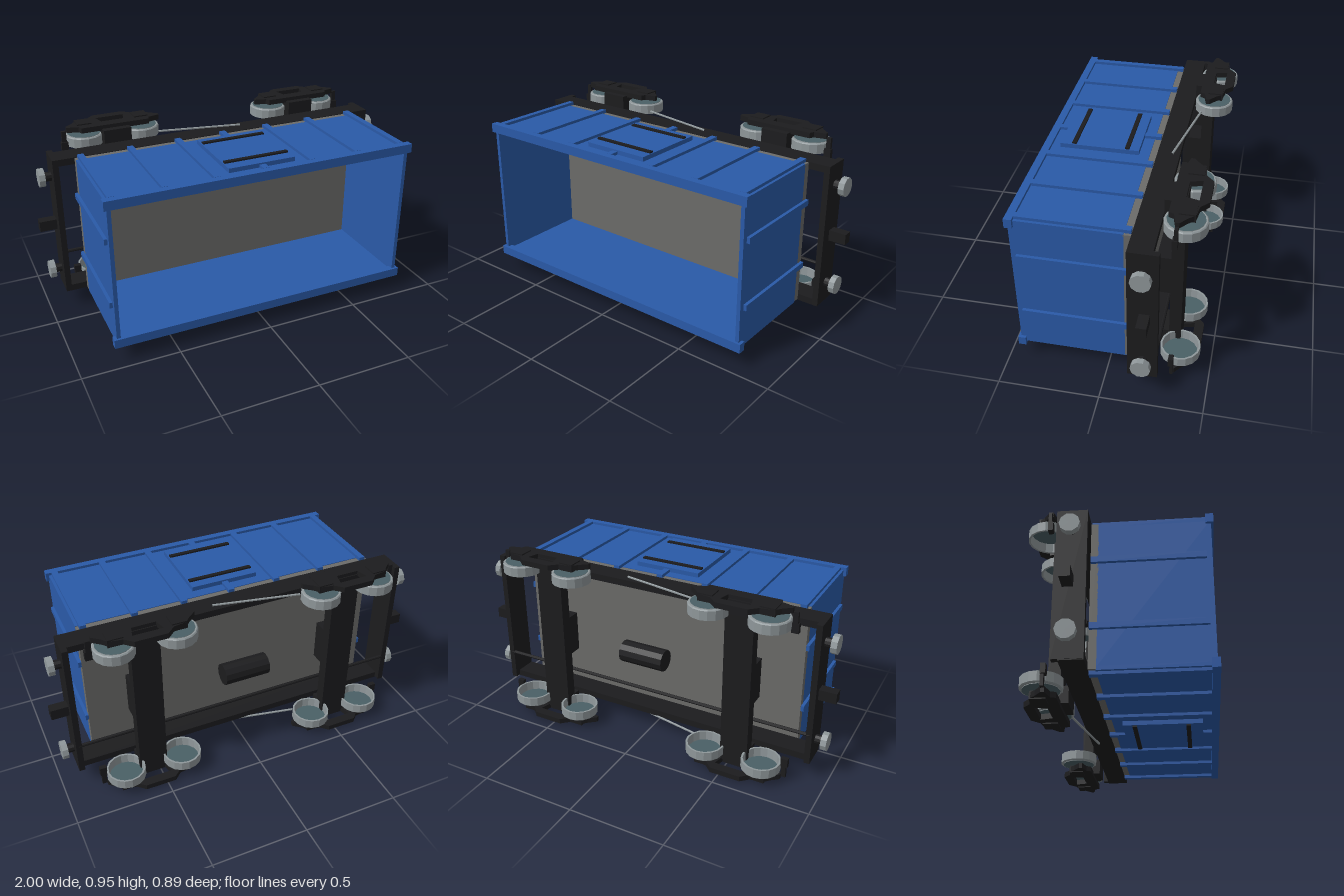
import * as THREE from 'three';

const mat = (color) => new THREE.MeshStandardMaterial({ color, flatShading: true });
const BLUE = mat(0x2a5aa8), BLACK = mat(0x1c1c1e), GREY = mat(0x8f979a);
const TEAL = mat(0x4a6066), FLOOR = mat(0x6b6b69);
const MID = 0.475; // height of the wagon's long mirror plane

function add(parent, name, geometry, material) {
  const m = new THREE.Mesh(geometry, material);
  m.name = name;
  parent.add(m);
  return m;
}

// Box from minimum and maximum coordinates
function box(parent, name, material, x0, x1, y0, y1, z0, z1) {
  const m = add(parent, name, new THREE.BoxGeometry(x1 - x0, y1 - y0, z1 - z0), material);
  m.position.set((x0 + x1) / 2, (y0 + y1) / 2, (z0 + z1) / 2);
  return m;
}

// Cylinder lying along x
function rod(parent, name, material, x0, x1, y, z, r, sides) {
  const m = add(parent, name, new THREE.CylinderGeometry(r, r, x1 - x0, sides), material);
  m.rotation.z = Math.PI / 2;
  m.position.set((x0 + x1) / 2, y, z);
  return m;
}

// Box repeated on both long sides; s = -1 mirrors it across the mid plane
function sideBox(parent, name, material, s, x0, x1, y0, y1, z0, z1) {
  const a = MID + s * (y0 - MID), b = MID + s * (y1 - MID);
  return box(parent, name, material, x0, x1, Math.min(a, b), Math.max(a, b), z0, z1);
}

// Long wall with ribs, rim rail and hatch panel
function createSide(s) {
  const g = new THREE.Group();
  g.name = 'longSide';
  sideBox(g, 'sideWall', BLUE, s, -0.8, 0.8, 0.835, 0.855, -0.088, 0.44);
  sideBox(g, 'rimRail', BLUE, s, -0.815, 0.815, 0.822, 0.869, 0.412, 0.45);
  for (const x of [-0.77, -0.513, -0.255, 0, 0.255, 0.513, 0.77])
    sideBox(g, 'sideRib', BLUE, s, x - 0.016, x + 0.016, 0.85, 0.87, -0.12, 0.412);
  sideBox(g, 'hatchPanel', BLUE, s, -0.178, 0.178, 0.85, 0.878, -0.035, 0.367);
  for (const z of [0.025, 0.295])
    sideBox(g, 'hatchBar', BLACK, s, -0.172, 0.172, 0.87, 0.886, z - 0.011, z + 0.011);
  return g;
}

// Hollow wheel with a recessed web, turning about y
function createWheel() {
  const g = new THREE.Group();
  g.name = 'wheel';
  const profile = [[0, 0.03], [0.087, 0.03], [0.09, -0.026], [0.1, -0.026], [0.1, 0.022], [0.095, 0.027], [0.086, 0.027], [0, 0.027]]
    .map(([r, y]) => new THREE.Vector2(r, y));
  // rim and inner web, closed on the outer side by the coloured disc
  add(g, 'wheelRim', new THREE.LatheGeometry(profile.slice(1, 7), 16),
    Object.assign(GREY.clone(), { side: THREE.DoubleSide }));
  const disc = add(g, 'wheelDisc', new THREE.CylinderGeometry(0.087, 0.087, 0.008, 16), TEAL);
  disc.position.y = 0.026;
  return g;
}

// Side frame outline with a window between the wheels
function sideFrameGeometry() {
  const half = [[0.18, -0.27], [0.19, -0.295], [0.25, -0.31], [0.25, -0.327], [0.21, -0.36], [0.185, -0.39], [0.12, -0.4], [0.08, -0.438]];
  const points = [...half, ...half.slice().reverse().map(([x, z]) => [-x, z])];
  const shape = new THREE.Shape(points.map(([x, z]) => new THREE.Vector2(x, -z)));
  shape.holes.push(new THREE.Path([[-0.06, 0.33], [-0.075, 0.39], [0.075, 0.39], [0.06, 0.33]]
    .map(([x, z]) => new THREE.Vector2(x, z))));
  const geo = new THREE.ExtrudeGeometry(shape, { depth: 0.028, bevelEnabled: false });
  return geo.rotateX(-Math.PI / 2); // outline y becomes -z, depth becomes y
}

function createBogie(cx, outward) {
  const g = new THREE.Group();
  g.name = 'bogie';
  box(g, 'bolster', BLACK, -0.073, 0.073, 0.1, 0.85, -0.335, -0.275);
  box(g, 'pivotBlock', BLACK, -0.073, 0.073, 0.367, 0.585, -0.28, -0.205);
  for (const s of [1, -1]) {
    sideBox(g, 'bolsterEnd', BLACK, s, -0.073, 0.073, 0.84, 0.925, -0.335, -0.235);
    const frame = add(g, 'sideFrame', sideFrameGeometry(), BLACK);
    frame.position.y = s > 0 ? 0.916 : 0.006;
    for (const x of [-0.153, 0.153]) {
      const wheel = createWheel();
      wheel.position.set(x, MID + s * 0.392, -0.345);
      if (s < 0) wheel.rotation.x = Math.PI;
      g.add(wheel);
      sideBox(g, 'axleBox', BLACK, s, x - 0.038, x + 0.038, 0.91, 0.95, -0.39, -0.315);
    }
    const hook = outward * 0.265;
    sideBox(g, 'brakeShoe', BLACK, s, hook - 0.018, hook + 0.018, 0.82, 0.868, -0.326, -0.302);
    sideBox(g, 'brakeHanger', BLACK, s, hook - 0.012, hook + 0.012, 0.86, 0.925, -0.326, -0.31);
  }
  g.position.x = cx;
  return g;
}

export function createModel() {
  const model = new THREE.Group();
  model.name = 'openWagon';

  // Open body
  const body = new THREE.Group();
  body.name = 'body';
  model.add(body);
  box(body, 'floor', FLOOR, -0.8, 0.8, 0.1, 0.852, -0.122, -0.085);
  for (const s of [1, -1]) body.add(createSide(s));
  for (const s of [1, -1]) {
    const end = new THREE.Group();
    end.name = 'endWall';
    box(end, 'endPanel', BLUE, 0.78, 0.8, 0.105, 0.845, -0.088, 0.438);
    for (const y of [0.306, 0.648])
      box(end, 'endRib', BLUE, 0.795, 0.816, y - 0.015, y + 0.015, -0.12, 0.412);
    if (s < 0) end.children.forEach((m) => { m.position.x *= -1; });
    body.add(end);
  }

  // Underframe
  const under = new THREE.Group();
  under.name = 'underframe';
  model.add(under);
  for (const s of [1, -1]) {
    sideBox(under, 'soleBar', BLACK, s, -0.91, 0.91, 0.82, 0.855, -0.235, -0.122);
    // Inclined brake rod
    const a = new THREE.Vector3(-0.3, MID + s * 0.383, -0.285);
    const b = new THREE.Vector3(0.14, MID + s * 0.383, -0.196);
    add(under, 'brakeRod', new THREE.TubeGeometry(new THREE.LineCurve3(a, b), 1, 0.006, 6), GREY);
    // Ends: beam, coupler and buffers
    const [e0, e1] = s > 0 ? [0.882, 0.912] : [-0.912, -0.882];
    box(under, 'endBeam', BLACK, e0, e1, 0.1, 0.855, -0.265, -0.122);
    box(under, 'coupler', BLACK, Math.min(s * 0.9, s), Math.max(s * 0.9, s), 0.45, 0.505, -0.228, -0.178);
    for (const y of [0.21, 0.745]) {
      rod(under, 'bufferShank', BLACK, Math.min(s * 0.9, s * 0.95), Math.max(s * 0.9, s * 0.95), y, -0.195, 0.024, 10);
      rod(under, 'bufferHead', GREY, Math.min(s * 0.947, s * 0.977), Math.max(s * 0.947, s * 0.977), y, -0.195, 0.048, 10);
    }
  }
  rod(under, 'brakePipe', BLACK, -0.9, 0.9, 0.262, -0.257, 0.009, 8);
  rod(under, 'brakeCylinder', BLACK, -0.122, 0.122, 0.478, -0.28, 0.057, 12);

  for (const s of [1, -1]) model.add(createBogie(s * 0.538, s));
  return model;
}
